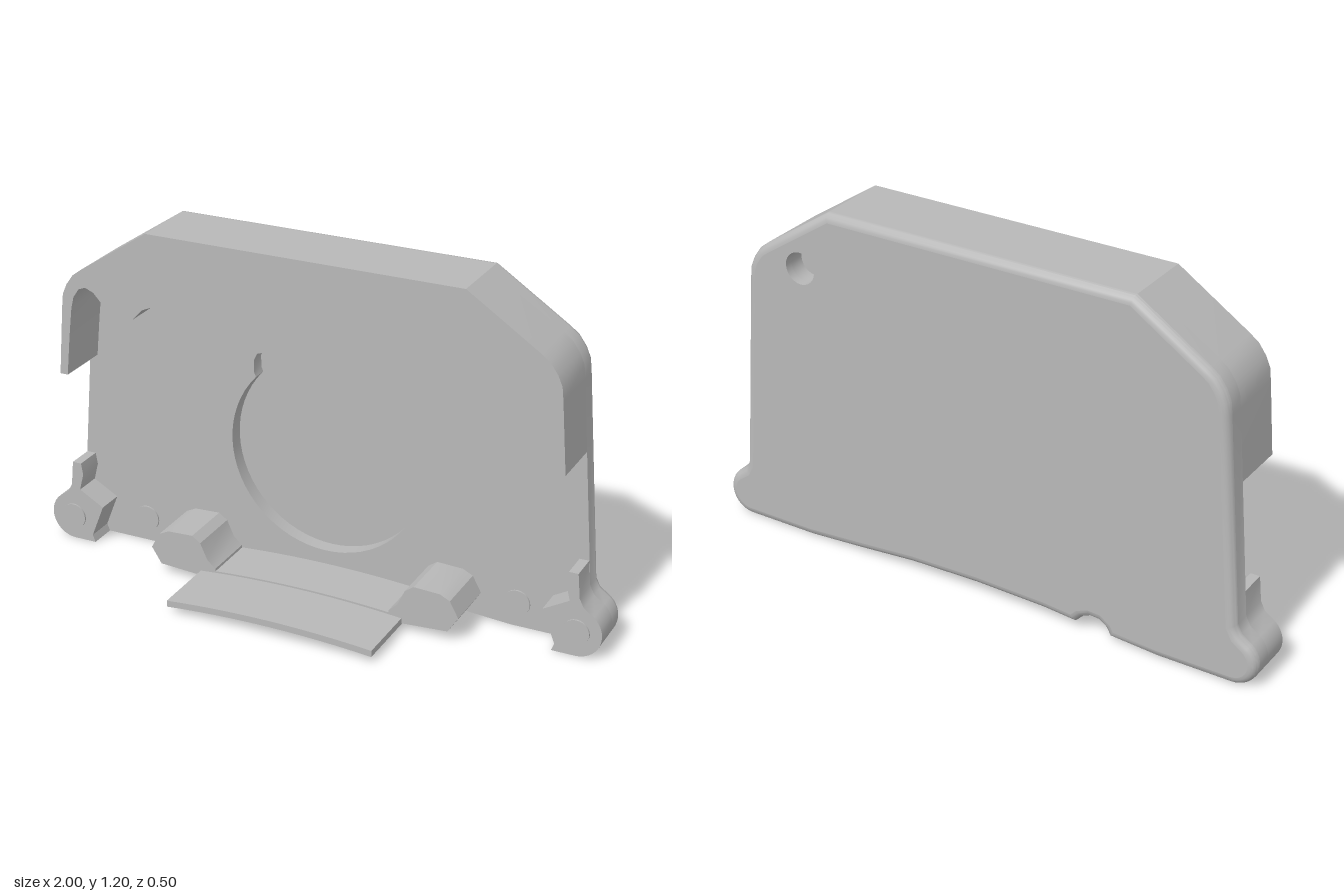
import * as THREE from 'three';
import { toCreasedNormals } from 'three/addons/utils/BufferGeometryUtils.js';

const shellGrey = new THREE.MeshStandardMaterial({ color: 0xb8b8b8, side: THREE.DoubleSide });
shellGrey.name = 'shellGrey';

const BACK = -0.25, FLOOR = -0.222, FACE = -0.17, RIM = 0.02;

const vec = (list) => list.map(([x, y]) => new THREE.Vector2(x, y));
const mirror = (list) => list.map(([x, y]) => [-x, y]).reverse();

function arc(cx, cy, r, from, to, n) {
  return Array.from({ length: n + 1 }, (_, i) => {
    const a = THREE.MathUtils.degToRad(from + ((to - from) * i) / n);
    return [cx + r * Math.cos(a), cy + r * Math.sin(a)];
  });
}

// Move a counter-clockwise outline inwards by d, with mitred corners
function inset(pts, d) {
  const n = pts.length;
  return pts.map((p, i) => {
    const e1 = p.clone().sub(pts[(i + n - 1) % n]).normalize();
    const e2 = pts[(i + 1) % n].clone().sub(p).normalize();
    const n1 = new THREE.Vector2(-e1.y, e1.x), n2 = new THREE.Vector2(-e2.y, e2.x);
    return p.clone().addScaledVector(n1.clone().add(n2), d / Math.max(0.5, 1 + n1.dot(n2)));
  });
}

function add(group, name, geometry) {
  const mesh = new THREE.Mesh(geometry, shellGrey);
  mesh.name = name;
  group.add(mesh);
  return mesh;
}

function slab(group, name, pts, z0, z1, holes = []) {
  const shape = new THREE.Shape(vec(pts));
  holes.forEach((h) => shape.holes.push(new THREE.Path(vec(h))));
  const g = new THREE.ExtrudeGeometry(shape, { depth: z1 - z0, bevelEnabled: false });
  g.translate(0, 0, z0);
  return add(group, name, toCreasedNormals(g, 0.5));
}

// Rounded edge joining the side wall to the back face
function roundedEdge(pts, r) {
  const steps = 5, n = pts.length, pos = [], idx = [];
  for (let k = 0; k <= steps; k++) {
    const a = (k / steps) * Math.PI / 2;
    inset(pts, r * (1 - Math.cos(a))).forEach((p) =>
      pos.push(p.x, p.y, FLOOR + (BACK - FLOOR) * Math.sin(a)));
  }
  for (let k = 0; k < steps; k++) {
    for (let j = 0; j < n; j++) {
      const a = k * n + j, b = k * n + (j + 1) % n;
      idx.push(a, a + n, b, b, a + n, b + n);
    }
  }
  const g = new THREE.BufferGeometry();
  g.setAttribute('position', new THREE.Float32BufferAttribute(pos, 3));
  g.setIndex(idx);
  return toCreasedNormals(g, 0.6);
}

// Thin arched strip, its middle raised above its ends
function arched(x0, x1, yEnd, yMid, thick) {
  const top = [], n = 12;
  for (let i = 0; i <= n; i++) {
    const t = i / n;
    top.push([x0 + (x1 - x0) * t, yEnd + (yMid - yEnd) * 4 * t * (1 - t)]);
  }
  return [...top.map(([x, y]) => [x, y - thick]), ...top.reverse()];
}

export function createModel() {
  const model = new THREE.Group();
  model.name = 'coverPlate';

  // Outline of the plate, counter-clockwise from the bottom centre
  const shoulder = [[0.865, 0.9], [0.86, 0.945], [0.845, 0.98], [0.82, 1.015], [0.79, 1.038], [0.545, 1.2]];
  const ear = [...arc(0.915, 0.085, 0.085, -90, 50, 14), [0.935, 0.175], [0.92, 0.205]];
  const bottom = [[0.25, 0.032], [0.45, 0.015], [0.66, 0]];
  const notch = [[-0.49, 0.012], [-0.475, 0.04], [-0.45, 0.058], [-0.42, 0.06], [-0.39, 0.048], [-0.365, 0.022]];
  const side = [...ear, ...shoulder];
  const outline = [[0, 0.038], ...bottom, ...side, ...mirror(side), [-0.66, 0], ...notch, [-0.25, 0.032]];

  // Round recess with a squared neck, and the blind screw hole at the back
  const neck = [[0.255, 0.692], [0.262, 0.71], [0.262, 0.75], [0.25, 0.775], [0.23, 0.782]];
  const recess = [...arc(0, 0.46, 0.345, -222, 42, 48), ...neck, ...mirror(neck)];
  const screwHole = arc(0.65, 0.99, 0.055, 0, 345, 23);

  // Plate
  slab(model, 'plate', outline, FLOOR, FACE, [recess, screwHole]);
  add(model, 'recessFloor', new THREE.ShapeGeometry(new THREE.Shape(vec(recess))).translate(0, 0, FLOOR));
  add(model, 'roundedBackEdge', roundedEdge(vec(outline), 0.028));
  const backShape = new THREE.Shape(inset(vec(outline), 0.028));
  backShape.holes.push(new THREE.Path(vec(screwHole)));
  const back = new THREE.ShapeGeometry(backShape).rotateY(Math.PI).scale(-1, 1, 1);
  const ix = back.index.array;
  for (let i = 0; i < ix.length; i += 3) [ix[i], ix[i + 1]] = [ix[i + 1], ix[i]];
  // Rotation and mirroring together keep x and leave the normals facing backwards
  add(model, 'backFace', back.translate(0, 0, BACK));
  back.computeVertexNormals();
  const wall = new THREE.CylinderGeometry(0.055, 0.055, FLOOR - BACK, 24, 1, true).rotateX(Math.PI / 2);
  add(model, 'screwHoleWall', wall).position.set(0.65, 0.99, (FLOOR + BACK) / 2);

  // Deep rim over the top, with legs down both sides
  const rimOuter = [[0.884, 0.66], ...shoulder];
  const rimInner = [[0.856, 0.66], [0.842, 0.8], [0.83, 0.9], [0.82, 0.94], [0.8, 0.97], [0.775, 0.98],
    [0.745, 0.968], [0.7, 0.92], [0.67, 0.897], [0.635, 0.889], [0.6, 0.9], [0.565, 0.938], [0.535, 0.952]];
  slab(model, 'topRim', [...rimOuter, ...mirror(rimOuter), ...mirror(rimInner).reverse(), ...rimInner.slice().reverse()],
    FACE, RIM);

  // Hinge feet, bosses and clip blocks on both sides
  const foot = [[0.835, 0], ...ear, [0.912, 0.29], [0.88, 0.29], [0.873, 0.25], [0.888, 0.19], [0.8, 0.14], [0.845, 0.025]];
  const block = [[0.36, 0.025], [0.52, 0.035], [0.555, 0.09], [0.525, 0.145], [0.49, 0.162], [0.4, 0.166],
    [0.37, 0.145], [0.345, 0.09], [0.315, 0.062], [0.31, 0.03]];
  for (const [s, label] of [[1, 'left'], [-1, 'right']]) {
    const flip = (pts) => (s > 0 ? pts : mirror(pts));
    slab(model, label + 'HingeFoot', flip(foot), FACE, -0.073);
    slab(model, label + 'HingeBoss', arc(s * 0.915, 0.085, 0.045, 0, 345, 23), -0.073, -0.067);
    slab(model, label + 'PlateBoss', arc(s * 0.68, 0.085, 0.045, 0, 345, 23), FACE, FACE + 0.006);
    slab(model, label + 'ClipBlock', flip(block), FACE, RIM);
  }

  // Arched shelf between the blocks and the tongue in front of it
  slab(model, 'shelf', arched(-0.36, 0.36, 0.05, 0.066, 0.022), FACE, RIM);
  slab(model, 'tongue', arched(-0.37, 0.36, 0.043, 0.06, 0.022), FACE, 0.25);
  return model;
}
